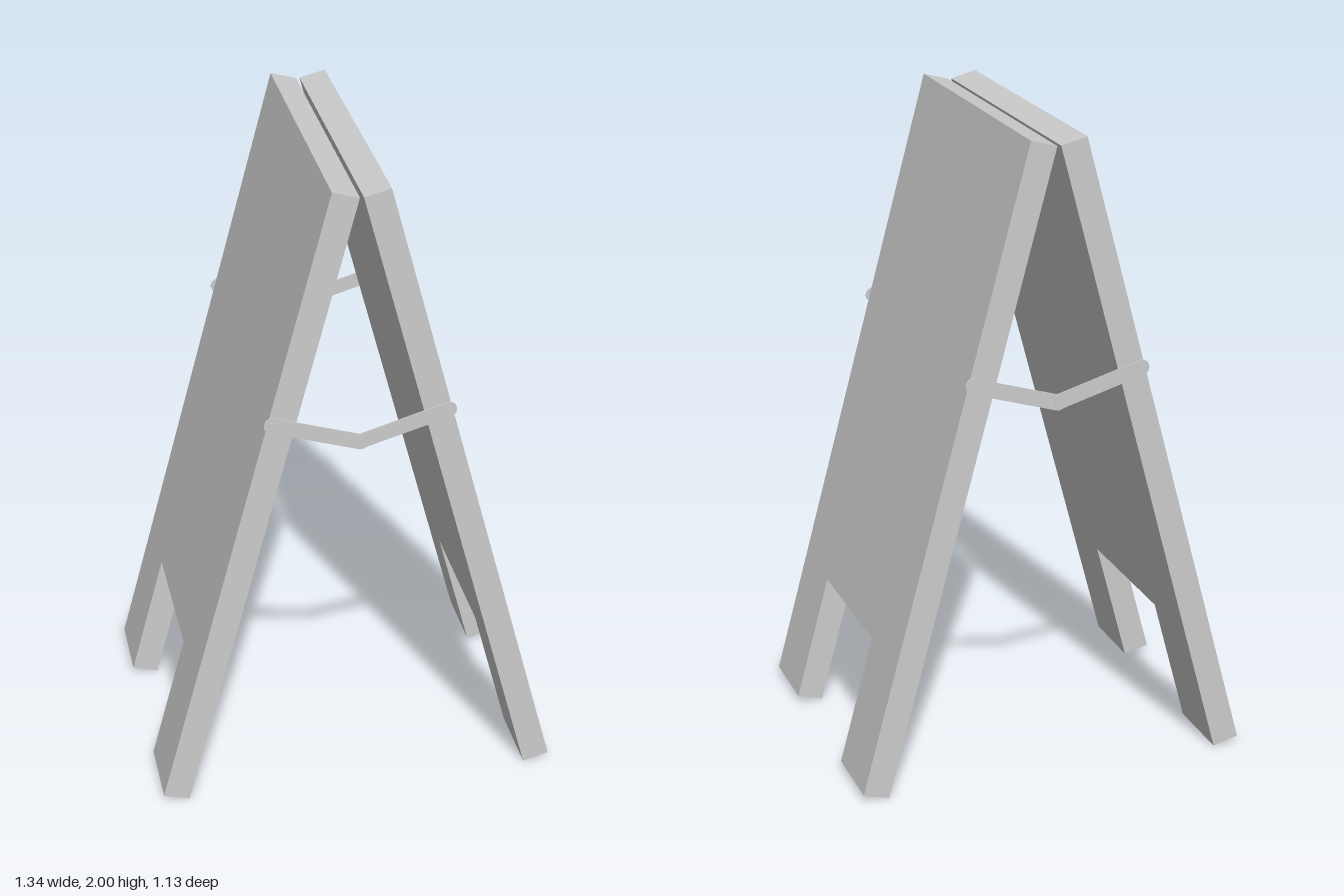
import * as THREE from 'three';

const TILT = Math.atan(0.268);   // lean of each board
const THICK = 0.083;
const HALF_W = 0.496;            // half width of a board
const LENGTH = 2.048;            // length along the slope
const NOTCH_W = 0.25;
const NOTCH_H = 0.413;

const material = new THREE.MeshStandardMaterial({ color: 0xcccccc, flatShading: true });
const pinMaterial = new THREE.MeshStandardMaterial({ color: 0xcccccc });

// Board outline with two legs; origin at the top outer edge, thickness towards -x
function boardGeometry() {
  const shape = new THREE.Shape([
    [-HALF_W, 0], [-HALF_W, -LENGTH], [-NOTCH_W, -LENGTH], [-NOTCH_W, NOTCH_H - LENGTH],
    [NOTCH_W, NOTCH_H - LENGTH], [NOTCH_W, -LENGTH], [HALF_W, -LENGTH], [HALF_W, 0],
  ].map(([x, y]) => new THREE.Vector2(x, y)));
  const geo = new THREE.ExtrudeGeometry(shape, { depth: THICK, bevelEnabled: false });
  geo.translate(0, 0, -THICK);
  geo.rotateY(Math.PI / 2);
  return geo;
}

// Flat bar with rounded ends from a to b
function barGeometry(a, b, r, depth) {
  const len = a.distanceTo(b);
  const shape = new THREE.Shape();
  shape.absarc(len, 0, r, -Math.PI / 2, Math.PI / 2, false);
  shape.absarc(0, 0, r, Math.PI / 2, Math.PI * 1.5, false);
  const geo = new THREE.ExtrudeGeometry(shape, { depth, bevelEnabled: false, curveSegments: 8 });
  geo.rotateZ(Math.atan2(b.y - a.y, b.x - a.x));
  geo.translate(a.x, a.y, 0);
  return geo;
}

// Folding stay: two bars joined by a pin, fixed to each board by a pin
function makeStay() {
  const stay = new THREE.Group();
  const mid = new THREE.Vector2(0, 1.208);
  const ends = [new THREE.Vector2(-0.265, 1.287), new THREE.Vector2(0.265, 1.287)];
  ends.forEach((end, i) => {
    const bar = new THREE.Mesh(barGeometry(end, mid, 0.024, 0.004), material);
    bar.name = i ? 'leftStayBar' : 'rightStayBar';
    bar.position.z = i ? HALF_W + 0.001 : HALF_W + 0.005;
    stay.add(bar);
  });
  [mid, ...ends].forEach((p, i) => {
    const pin = new THREE.Mesh(new THREE.CylinderGeometry(0.011, 0.011, 0.018, 16), pinMaterial);
    pin.name = i ? 'stayEndPin' : 'stayMiddlePin';
    pin.rotation.x = Math.PI / 2;
    pin.position.set(p.x, p.y, HALF_W + (i === 2 ? -0.003 : 0.003));
    stay.add(pin);
  });
  return stay;
}

export function createModel() {
  const model = new THREE.Group();
  model.name = 'folding sign stand';

  // Each half turn places one board and one stay
  const board = boardGeometry();
  for (const [turn, boardName, stayName] of [[0, 'leftBoard', 'frontStay'], [Math.PI, 'rightBoard', 'backStay']]) {
    const half = new THREE.Group();
    half.rotation.y = turn;
    const panel = new THREE.Mesh(board, material);
    panel.name = boardName;
    panel.position.set(0.086, 2, 0);
    panel.rotation.z = TILT;
    const stay = makeStay();
    stay.name = stayName;
    half.add(panel, stay);
    model.add(half);
  }

  // The whole stand is turned slightly
  model.rotation.y = -0.116;
  const root = new THREE.Group();
  root.name = 'signStand';
  root.add(model);
  return root;
}
